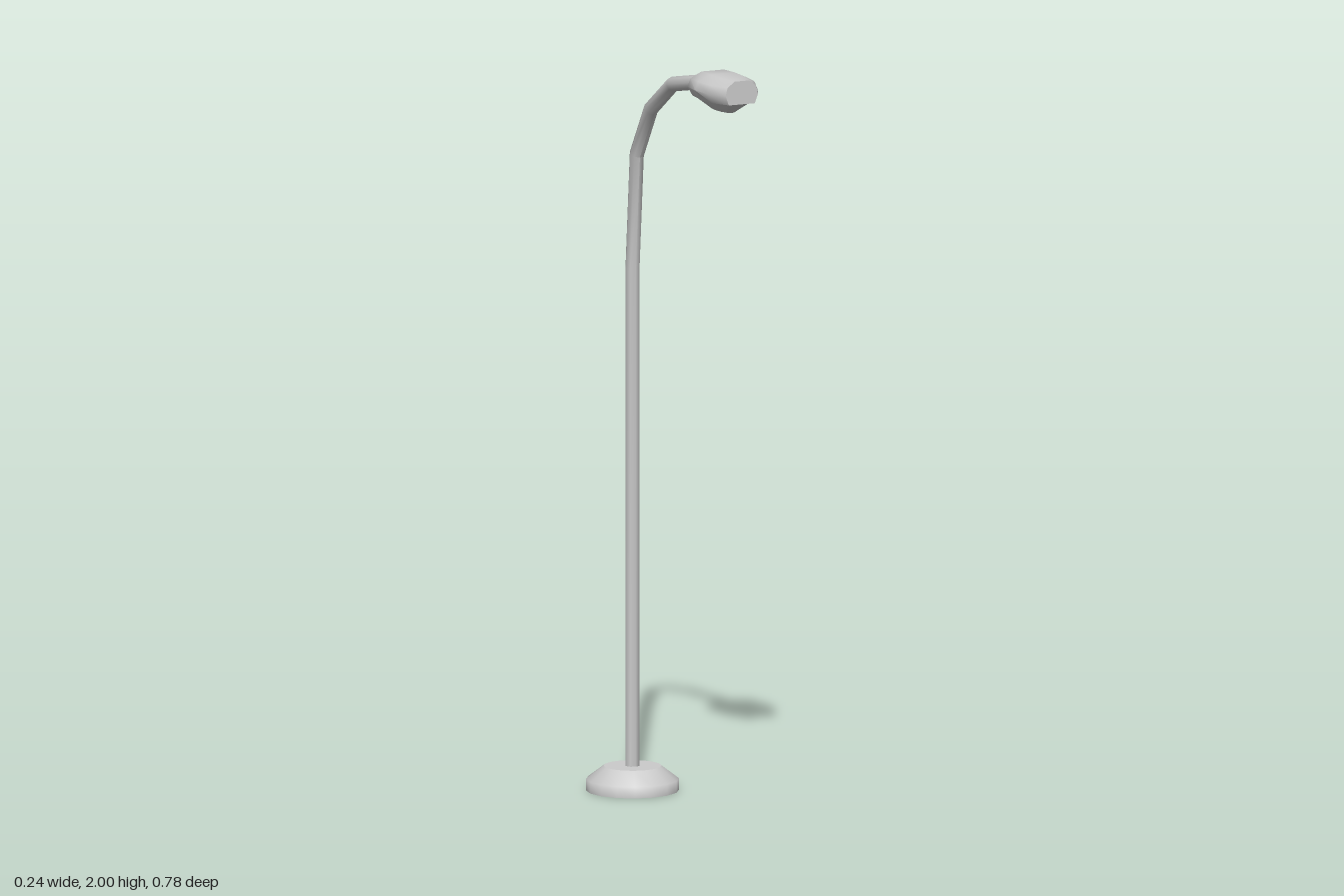
import * as THREE from 'three';
import { toCreasedNormals } from 'three/addons/utils/BufferGeometryUtils.js';

const material = new THREE.MeshStandardMaterial({ color: 0xcccccc });
const POLE_Z = -0.271;

// Skins a list of closed rings (counter-clockwise about the advancing direction) and caps both ends.
function loft(rings, crease) {
  const n = rings[0].length, last = rings.length - 1;
  const pos = rings.flat(2), index = [];
  for (let i = 0; i < last; i++) {
    for (let j = 0; j < n; j++) {
      const a = i * n + j, b = i * n + (j + 1) % n;
      index.push(a, b, b + n, a, b + n, a + n);
    }
  }
  for (let j = 1; j < n - 1; j++) {
    index.push(0, j + 1, j, last * n, last * n + j, last * n + j + 1);
  }
  const geo = new THREE.BufferGeometry();
  geo.setAttribute('position', new THREE.Float32BufferAttribute(pos, 3));
  geo.setIndex(index);
  return toCreasedNormals(geo, crease);
}

function add(group, name, geo) {
  const mesh = new THREE.Mesh(geo, material);
  mesh.name = name;
  group.add(mesh);
  return mesh;
}

// Round tube with mitred joints along a path of [z, y] points
function mitredTube(path, radius, sides) {
  const pts = path.map(([z, y]) => new THREE.Vector2(z, y));
  const rings = pts.map((p, i) => {
    const before = p.clone().sub(pts[Math.max(i - 1, 0)]).normalize();
    const after = pts[Math.min(i + 1, pts.length - 1)].clone().sub(p).normalize();
    const d = before.clone().add(after).normalize();
    const stretch = 1 / Math.max(d.dot(before), d.dot(after));
    return Array.from({ length: sides }, (_, j) => {
      const a = j / sides * Math.PI * 2;
      const v = Math.sin(a) * radius * stretch;
      return [Math.cos(a) * radius, p.y + v * d.x, p.x - v * d.y];
    });
  });
  return loft(rings, 0.9);
}

export function createModel() {
  const model = new THREE.Group();
  model.name = 'streetLamp';

  // Bevelled foot
  const foot = new THREE.Group();
  foot.name = 'foot';
  foot.position.z = POLE_Z;
  const profile = [[0.122, 0], [0.122, 0.03], [0.076, 0.065]].map(p => new THREE.Vector2(...p));
  add(foot, 'footSide', new THREE.LatheGeometry(profile, 16));
  const top = add(foot, 'footTop', new THREE.CircleGeometry(0.076, 16));
  top.rotation.x = -Math.PI / 2;
  top.position.y = 0.065;
  add(foot, 'footUnderside', new THREE.CircleGeometry(0.122, 16)).rotation.x = Math.PI / 2;
  model.add(foot);

  // Pole bending over into the arm
  add(model, 'poleAndArm', mitredTube([
    [POLE_Z, 0.05], [POLE_Z, 1.39], [-0.245, 1.697], [-0.159, 1.832], [-0.025, 1.921], [0.19, 1.965],
  ], 0.0195, 8));

  // Lamp housing: cross-sections [z, half width, bottom, top] along the head
  const section = [[1, 0.4], [0.88, 0.75], [0.45, 1], [-0.45, 1], [-0.88, 0.75], [-1, 0.4], [-0.8, 0], [0.8, 0]];
  const stations = [
    [0.155, 0.02, 1.942, 1.972], [0.215, 0.073, 1.936, 1.998], [0.275, 0.08, 1.936, 2],
    [0.335, 0.073, 1.936, 2], [0.392, 0.047, 1.938, 2],
  ];
  const head = new THREE.Group();
  head.name = 'lampHead';
  add(head, 'housing', loft(stations.map(([z, w, lo, hi]) =>
    section.map(([x, t]) => [x * w, lo + t * (hi - lo), z])), 0.95));

  // Tapered lens below: rings [y, x radius, z radius]
  add(head, 'lens', loft([[1.94, 0.063, 0.113], [1.934, 0.061, 0.108], [1.905, 0.022, 0.058]].map(([y, rx, rz]) =>
    Array.from({ length: 12 }, (_, j) => {
      const a = j / 12 * Math.PI * 2;
      return [Math.cos(a) * rx, y, 0.275 + Math.sin(a) * rz];
    })), 0.6));
  model.add(head);

  return model;
}
